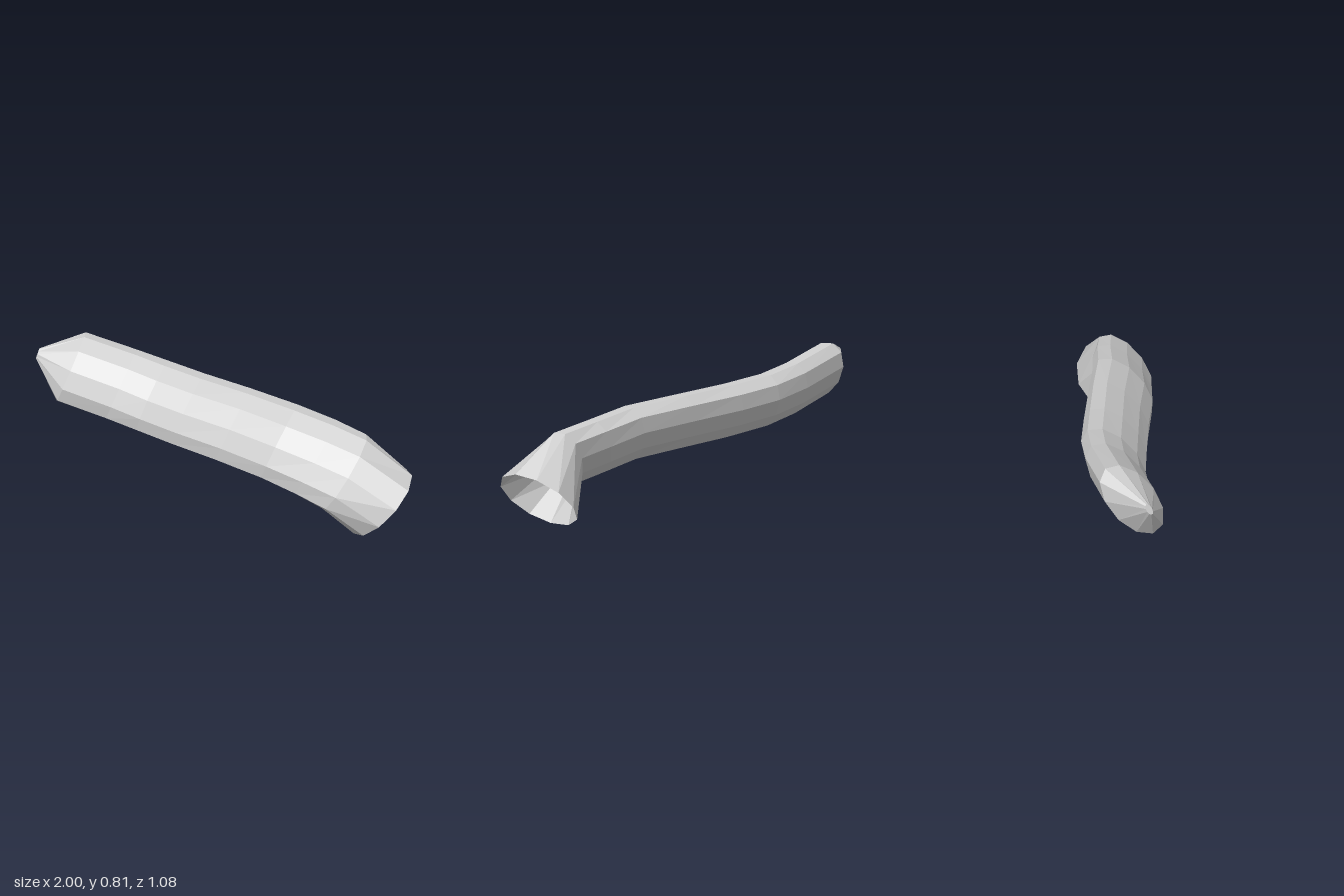
import * as THREE from 'three';

const SIDES = 11;
const PHASE = 0.14;

// Flattened rings along the body: centre, then x lean of the long and short radius
const BODY = [
  [[-0.805, 0.648, -0.396], 0.075, 0.03],
  [[-0.525, 0.57, -0.328], 0.083, 0.02],
  [[-0.35, 0.528, -0.262], 0.088, 0],
  [[-0.155, 0.495, -0.152], 0.09, 0],
  [[0.085, 0.464, -0.01], 0.095, 0.01],
  [[0.33, 0.429, 0.142], 0.1, 0],
  [[0.51, 0.38, 0.232], 0.11, 0.02],
  [[0.658, 0.335, 0.32], 0.11, 0.04],
].map(([centre, lean, shortLean]) => [centre, [lean, 0.16, -0.116], [shortLean, 0.066, 0.09]]);

// All rings from the pointed end to the round mouth: centre, long radius, short radius
const RINGS = [
  [[-0.988, 0.725, -0.405], [0.01, 0.025, -0.012], [0.003, 0.008, 0.012]],
  ...BODY,
  [[0.857, 0.166, 0.328], [0.12, 0.134, -0.123], [0.084, 0.093, 0.176]],
];

function ringPoints(ring) {
  const [centre, long, short] = ring.map((p) => new THREE.Vector3(...p));
  return Array.from({ length: SIDES }, (_, j) => {
    const a = PHASE + (j / SIDES) * Math.PI * 2;
    return centre.clone()
      .addScaledVector(long, Math.cos(a))
      .addScaledVector(short, Math.sin(a));
  });
}

function meshFrom(name, points, index, material) {
  const geometry = new THREE.BufferGeometry().setFromPoints(points);
  geometry.setIndex(index);
  geometry.computeVertexNormals();
  const mesh = new THREE.Mesh(geometry, material);
  mesh.name = name;
  return mesh;
}

export function createModel() {
  const group = new THREE.Group();
  group.name = 'bentTube';
  const material = new THREE.MeshStandardMaterial({
    color: 0xcccccc, flatShading: true, side: THREE.DoubleSide,
  });

  // Faceted tube, open at the wide mouth
  const rings = RINGS.map(ringPoints);
  const index = [];
  for (let i = 0; i < rings.length - 1; i++) {
    for (let j = 0; j < SIDES; j++) {
      const k = (j + 1) % SIDES;
      const a = i * SIDES + j, b = i * SIDES + k;
      index.push(a, b, a + SIDES, b, b + SIDES, a + SIDES);
    }
  }
  group.add(meshFrom('tubeWall', rings.flat(), index, material));

  // Small flat cap on the pointed end
  const cap = [];
  for (let j = 1; j < SIDES - 1; j++) cap.push(0, j + 1, j);
  group.add(meshFrom('tipCap', rings[0], cap, material));

  return group;
}
